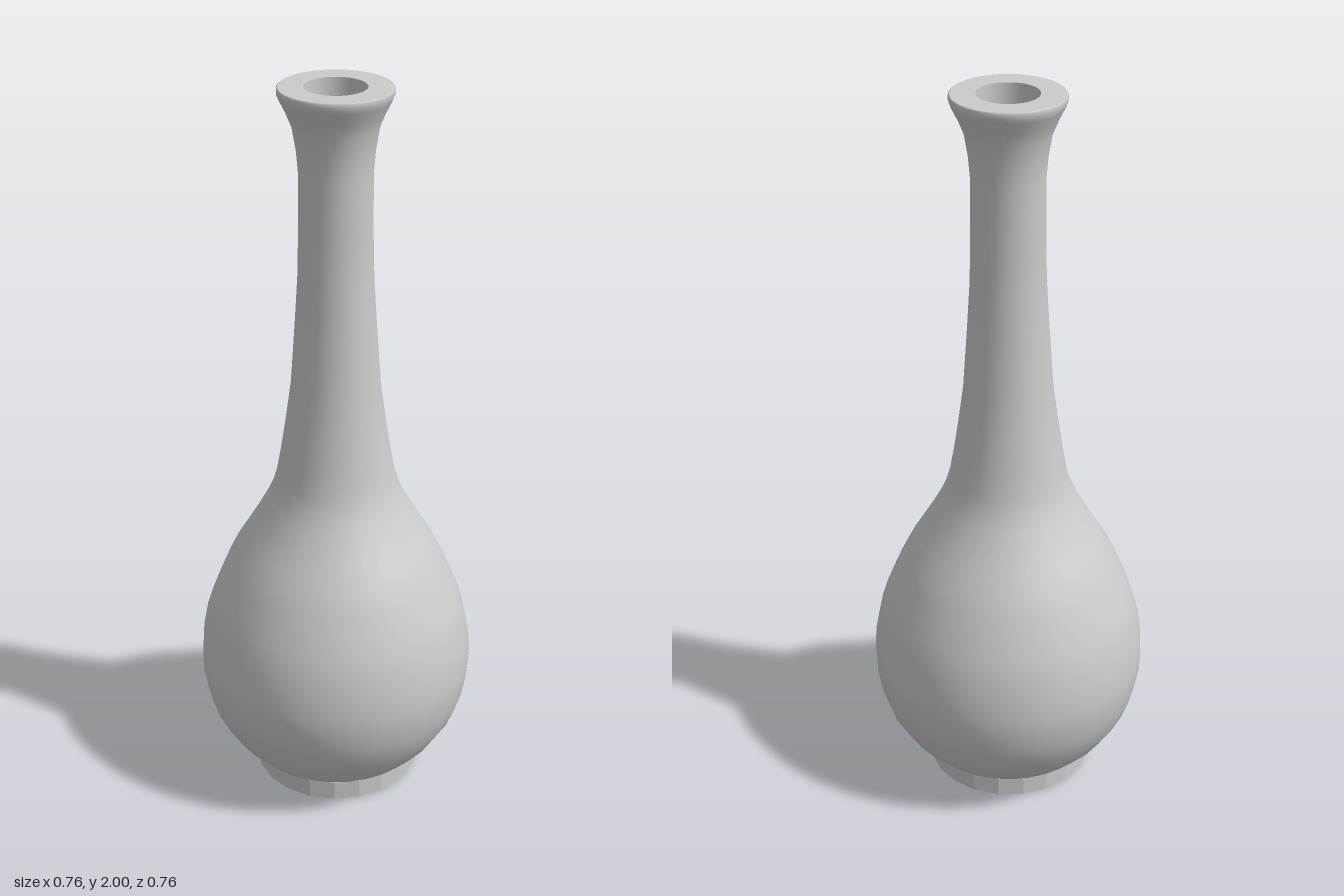
import * as THREE from 'three';

const SEGMENTS = 32;

export function createModel() {
  const vase = new THREE.Group();
  vase.name = 'vase';
  const material = new THREE.MeshStandardMaterial({ color: 0xcccccc });

  // Revolves [radius, height] pairs; separate meshes keep the edges between them crisp
  function addLathe(name, profile) {
    const points = profile.map(([r, y]) => new THREE.Vector2(r, y));
    const mesh = new THREE.Mesh(new THREE.LatheGeometry(points, SEGMENTS), material);
    mesh.name = name;
    vase.add(mesh);
  }

  // Bulbous body rising into a long neck and flared lip
  addLathe('bodyAndNeck', [
    [0.2, 0.045], [0.222, 0.055], [0.255, 0.08], [0.302, 0.13], [0.345, 0.2],
    [0.365, 0.26], [0.376, 0.32], [0.378, 0.37], [0.374, 0.43], [0.361, 0.5],
    [0.345, 0.55], [0.325, 0.6], [0.302, 0.655], [0.28, 0.7], [0.25, 0.75],
    [0.22, 0.8], [0.19, 0.855], [0.172, 0.895], [0.16, 0.935], [0.148, 1.0],
    [0.134, 1.09], [0.119, 1.2], [0.107, 1.37], [0.099, 1.5], [0.096, 1.62],
    [0.095, 1.78], [0.1, 1.84], [0.11, 1.9], [0.126, 1.94], [0.141, 1.97],
    [0.147, 1.985], [0.147, 1.997], [0.144, 2.0],
  ]);

  // Flat rim around the mouth
  addLathe('rim', [[0.144, 2.0], [0.08, 2.0]]);

  // Hollow interior, from the mouth down to the floor
  addLathe('innerWall', [
    [0.08, 2.0], [0.08, 1.5], [0.095, 1.2], [0.125, 1.0], [0.15, 0.88],
    [0.26, 0.68], [0.335, 0.5], [0.348, 0.37], [0.32, 0.22], [0.24, 0.1],
  ]);
  addLathe('innerFloor', [[0.24, 0.1], [0, 0.1]]);

  // Low faceted foot ring
  const foot = new THREE.Mesh(
    new THREE.CylinderGeometry(0.226, 0.226, 0.056, 20),
    new THREE.MeshStandardMaterial({ color: 0xcccccc, flatShading: true })
  );
  foot.name = 'foot';
  foot.position.y = 0.028;
  vase.add(foot);

  return vase;
}
